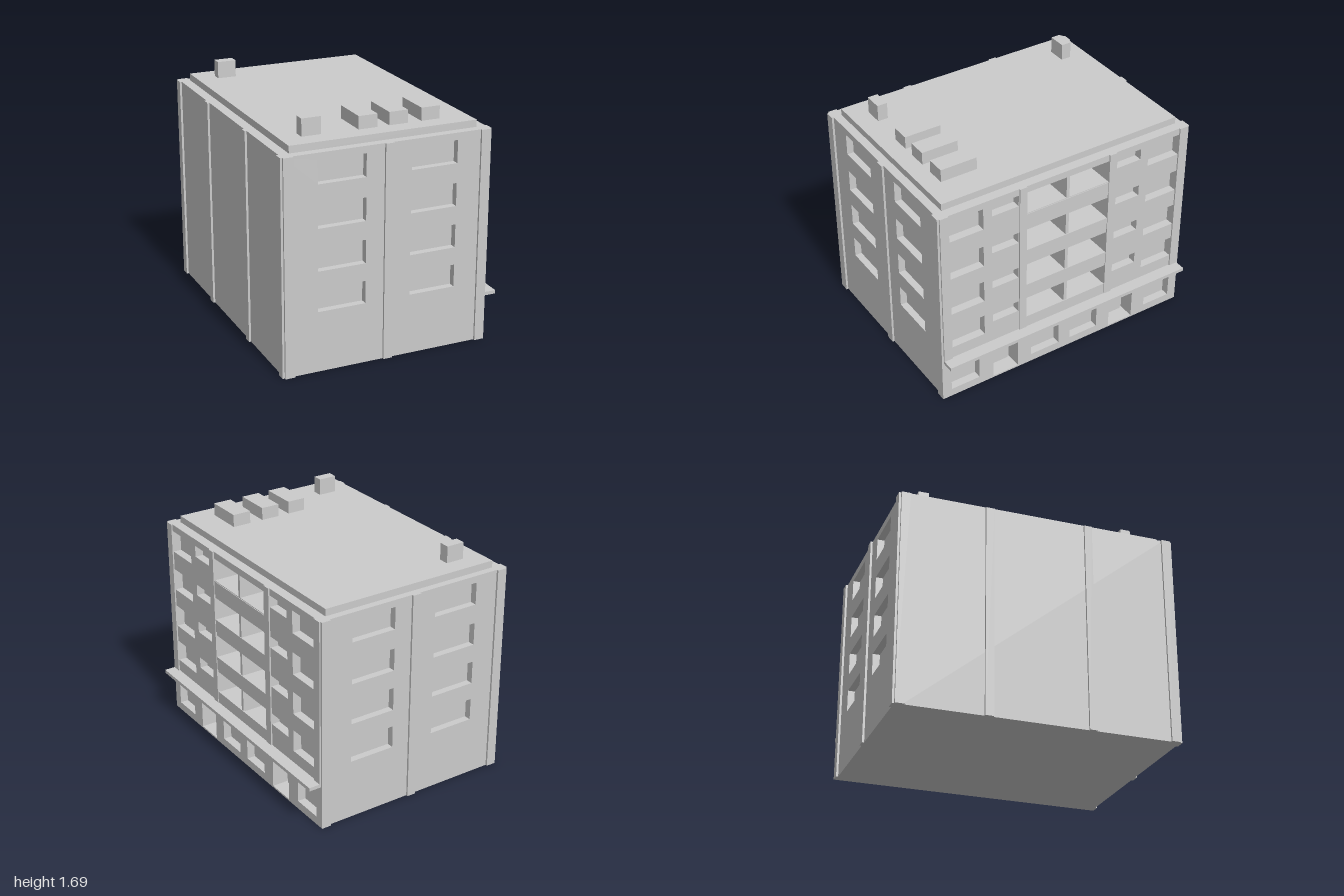
import * as THREE from 'three';

const material = new THREE.MeshStandardMaterial({ color: 0xcccccc, flatShading: true });
const L = -0.78, R = 0.70, Z = 0.985, H = 1.52; // wall faces and height
const SKIN = 0.05; // thickness of front and back walls

export function createModel() {
  const model = new THREE.Group();
  model.name = 'apartmentBlock';

  const add = (name, geometry) => {
    const mesh = new THREE.Mesh(geometry, material);
    mesh.name = name;
    model.add(mesh);
    return mesh;
  };

  // box given by its limits
  const box = (name, x0, x1, y0, y1, z0, z1) => {
    const g = new THREE.BoxGeometry(x1 - x0, y1 - y0, z1 - z0);
    g.translate((x0 + x1) / 2, (y0 + y1) / 2, (z0 + z1) / 2);
    return add(name, g);
  };

  // upright slab with rectangular holes [u0, u1, y0, y1]
  const wall = (u0, u1, depth, holes) => {
    const rect = (path, a, b, c, d) =>
      path.moveTo(a, c).lineTo(b, c).lineTo(b, d).lineTo(a, d).closePath();
    const shape = rect(new THREE.Shape(), u0, u1, 0, H);
    for (const h of holes) shape.holes.push(rect(new THREE.Path(), ...h));
    return new THREE.ExtrudeGeometry(shape, { depth, bevelEnabled: false });
  };

  const floors = [
    [0.43, 0.59], [0.715, 0.88], [1.01, 1.172], [1.31, 1.47],
  ];

  // front and back walls with two columns of windows
  const endWindows = [];
  for (const [y0, y1] of floors) {
    endWindows.push([-0.54, -0.20, y0, y1], [0.125, 0.46, y0, y1]);
  }
  add('frontWall', wall(L, R, SKIN, endWindows)).position.z = Z - SKIN;
  add('backWall', wall(L, R, SKIN, endWindows)).position.z = -Z;

  // openings of the street facade, mirrored about its middle
  const windows = [], doors = [], balconies = [];
  const pair = (list, a, b, y0, y1) => list.push([a, b, y0, y1], [-b, -a, y0, y1]);
  for (const [y0, y1] of floors) {
    pair(windows, 0.66, 0.92, y0, y1);
    pair(windows, 0.39, 0.595, y1 - 0.083, y1);
    pair(balconies, 0.012, 0.33, y0 - 0.005, y1);
  }
  pair(windows, 0.707, 0.93, 0.06, 0.28);
  pair(windows, 0.048, 0.28, 0.06, 0.28);
  pair(doors, 0.39, 0.595, 0.012, 0.278);

  // facade in layers: windows are shallow, doors deeper, balconies deepest
  const inner = Z - SKIN;
  const layers = [
    ['facadeWall', 0.06, [...windows, ...doors, ...balconies]],
    ['doorRecessWall', 0.06, [...doors, ...balconies]],
    ['balconyRecessWall', 0.13, balconies],
  ];
  let x = R;
  for (const [name, depth, holes] of layers) {
    x -= depth;
    const mesh = add(name, wall(-inner, inner, depth, holes));
    mesh.rotation.y = Math.PI / 2;
    mesh.position.x = x;
  }
  box('core', L, x, 0, H, -inner, inner);

  // door leaves
  for (const s of [-1, 1]) {
    box('door', 0.57, 0.59, 0.012, 0.255, s * 0.49 - 0.085, s * 0.49 + 0.085);
  }

  // balcony parapets
  for (const [y0, y1] of [[0.34, 0.43], [0.615, 0.71], [0.91, 1.005], [1.20, 1.30]]) {
    box('balconyParapet', R - 0.01, 0.705, y0, y1, -0.33, 0.33);
  }

  // canopy above the ground floor
  box('canopy', R - 0.01, 0.79, 0.317, 0.342, -Z, Z);

  // pilasters on the front and back
  for (const [x0, x1] of [[L, -0.71], [-0.07, -0.005], [0.63, R]]) {
    box('frontPilaster', x0, x1, 0, H, Z, 1);
    box('backPilaster', x0, x1, 0, H, -1, -Z);
  }

  // pilasters on both long sides; those of the facade start at the canopy
  for (const [z0, z1] of [[-Z, -0.92], [-0.39, -0.33], [0.33, 0.385], [0.92, Z]]) {
    box('sidePilaster', -0.795, L, 0, H, z0, z1);
    box('facadePilaster', R, 0.71, 0.342, H, z0, z1);
  }

  // roof slab, chimneys and vents
  box('roofSlab', -0.71, 0.63, H, 1.57, -0.935, 0.925);
  for (const z of [-0.765, 0.75]) {
    box('chimney', -0.565, -0.43, 1.57, 1.69, z - 0.037, z + 0.037);
  }
  for (const [x0, x1] of [[-0.17, -0.035], [0.05, 0.185], [0.285, 0.42]]) {
    box('roofVent', x0, x1, 1.57, 1.66, 0.53, 0.80);
  }

  return model;
}
